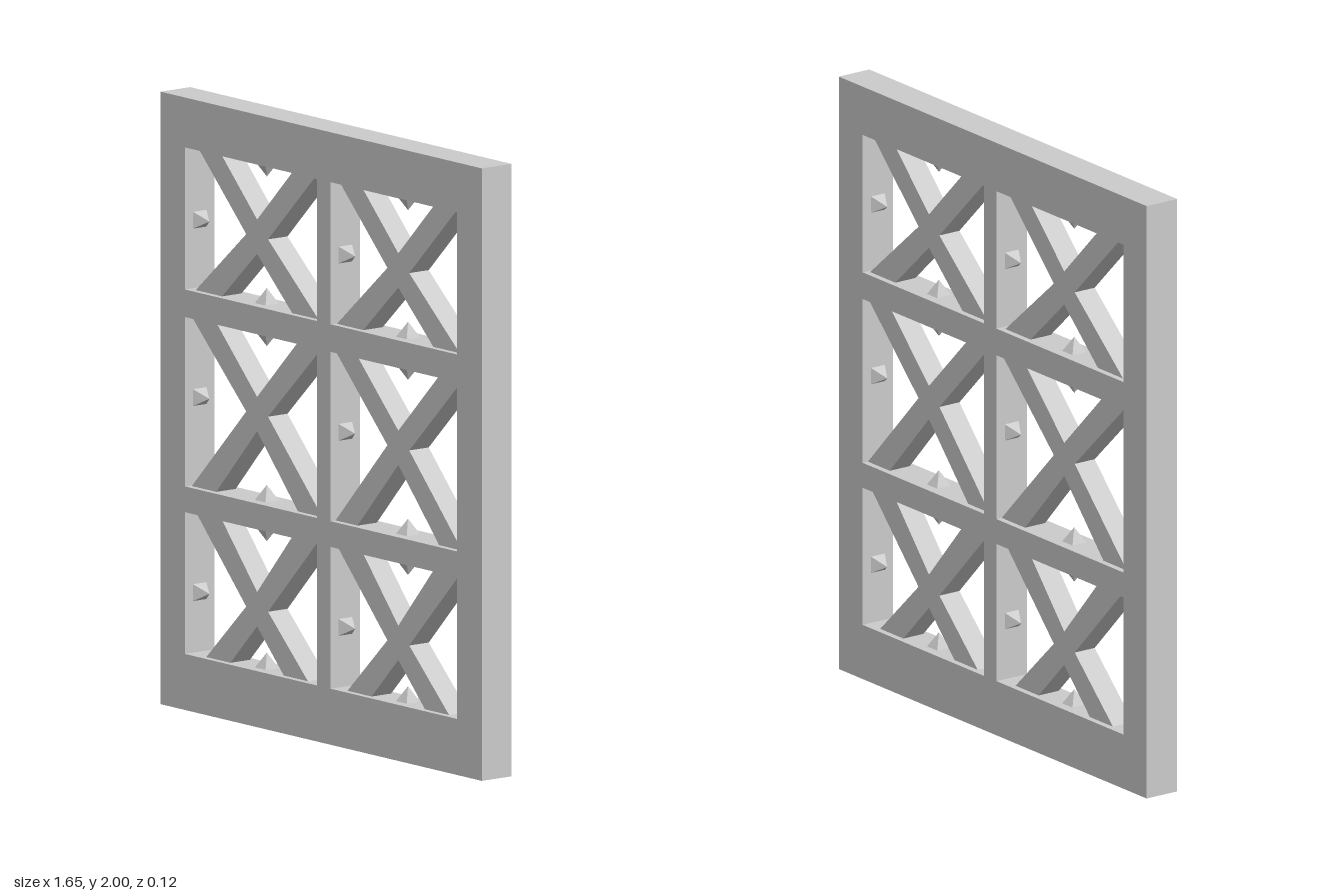
import * as THREE from 'three';

const material = new THREE.MeshStandardMaterial({ color: 0xcccccc, flatShading: true });

const HALF_W = 0.825, HEIGHT = 2, DEPTH = 0.122, BRACE_DEPTH = 0.08;
// Openings: columns (x range, brace centre) and rows (y range, brace centre)
const COLUMNS = [
  { x0: -0.7, x1: -0.02, cx: -0.355 },
  { x0: 0.048, x1: 0.697, cx: 0.37 },
];
// top and bottom: outer and inner reach of the brace ends from the centre
const ROWS = [
  { y0: 0.183, y1: 0.646, cy: 0.379, top: [0.312, 0.183], bottom: [0.261, 0.137] },
  { y0: 0.73, y1: 1.283, cy: 1.016, top: [0.335, 0.21], bottom: [0.335, 0.21] },
  { y0: 1.373, y1: 1.837, cy: 1.595, top: [0.3, 0.185], bottom: [0.315, 0.18] },
];

function polygon(points, Type = THREE.Shape) {
  return new Type(points.map(([x, y]) => new THREE.Vector2(x, y)));
}

function rectangle(x0, y0, x1, y1, Type) {
  return polygon([[x0, y0], [x1, y0], [x1, y1], [x0, y1]], Type);
}

function slab(name, shape, depth) {
  const geometry = new THREE.ExtrudeGeometry(shape, { depth, bevelEnabled: false });
  geometry.translate(0, 0, -depth / 2);
  const mesh = new THREE.Mesh(geometry, material);
  mesh.name = name;
  return mesh;
}

// X-shaped brace as one outline, with its ends cut level with the rails
function crossBrace({ x0, x1, cx }, { y0, y1, cy, top, bottom }) {
  const n = 0.056;
  const points = [
    [cx - bottom[0], y0], [cx - bottom[1], y0], [cx, cy - n],
    [cx + bottom[1], y0], [cx + bottom[0], y0], [cx + n, cy],
    [cx + top[0], y1], [cx + top[1], y1], [cx, cy + n],
    [cx - top[1], y1], [cx - top[0], y1], [cx - n, cy],
  ].map(([x, y]) => [Math.min(x1, Math.max(x0, x)), y]);
  return slab('crossBrace', polygon(points), BRACE_DEPTH);
}

// Four-sided stud, its base on the origin and its point towards +y
const studGeometry = new THREE.ConeGeometry(0.055 / Math.SQRT2, 0.05, 4);
studGeometry.rotateY(Math.PI / 4);
studGeometry.translate(0, 0.025, 0);

function stud(x, y, turn) {
  const mesh = new THREE.Mesh(studGeometry, material);
  mesh.name = 'stud';
  mesh.position.set(x, y, 0);
  mesh.rotation.z = turn;
  return mesh;
}

export function createModel() {
  const model = new THREE.Group();
  model.name = 'latticePanel';

  // Outer frame, rails and centre post, cut from one slab
  const outline = rectangle(-HALF_W, 0, HALF_W, HEIGHT);
  for (const { x0, x1 } of COLUMNS) {
    for (const { y0, y1 } of ROWS) outline.holes.push(rectangle(x0, y0, x1, y1, THREE.Path));
  }
  model.add(slab('frame', outline, DEPTH));

  // A brace and four inward studs in each opening
  for (const column of COLUMNS) {
    for (const row of ROWS) {
      const panel = new THREE.Group();
      panel.name = 'panel';
      const { x0, x1, cx } = column;
      const { y0, y1, cy } = row;
      panel.add(
        crossBrace(column, row),
        stud(cx, y0, 0),
        stud(cx, y1, Math.PI),
        stud(x0, cy, -Math.PI / 2),
        stud(x1, cy, Math.PI / 2),
      );
      model.add(panel);
    }
  }
  return model;
}
